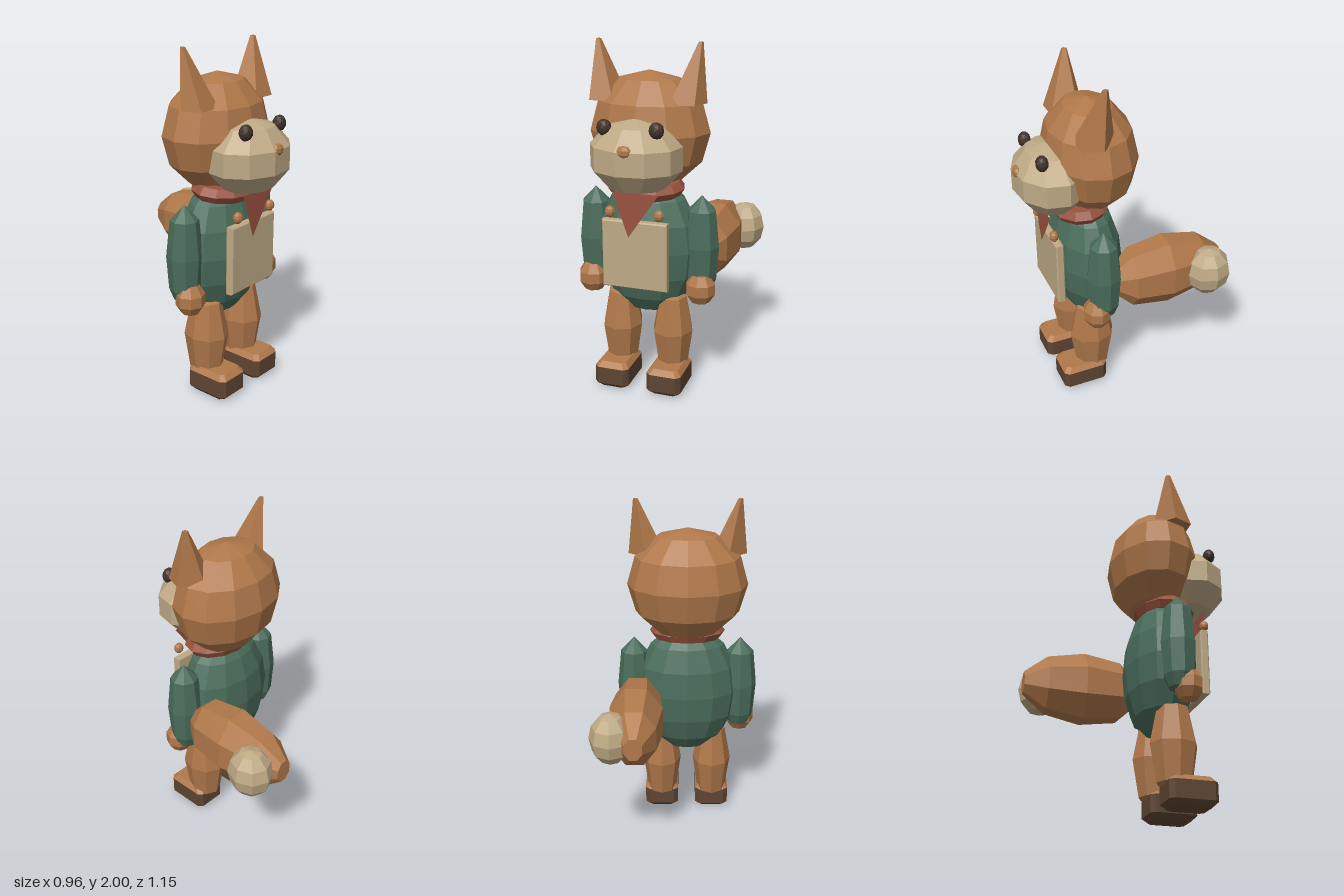
import * as THREE from 'three';

const mat = (name, color) => {
  const m = new THREE.MeshStandardMaterial({ color });
  m.name = name;
  return m;
};

// Faceted look: every face gets its own normal
function facet(geo) {
  const g = geo.index ? geo.toNonIndexed() : geo;
  g.computeVertexNormals();
  return g;
}

// Skin a list of rings, each counter-clockwise seen from the last ring's end
function loft(rings) {
  const n = rings[0].length, pos = rings.flat(2), idx = [];
  for (let i = 0; i < rings.length - 1; i++)
    for (let j = 0; j < n; j++) {
      const a = i * n + j, b = i * n + (j + 1) % n;
      idx.push(a, b, b + n, a, b + n, a + n);
    }
  const last = (rings.length - 1) * n;
  for (let j = 1; j < n - 1; j++) {
    idx.push(0, j + 1, j);
    idx.push(last, last + j, last + j + 1);
  }
  const g = new THREE.BufferGeometry();
  g.setAttribute('position', new THREE.Float32BufferAttribute(pos, 3));
  g.setIndex(idx);
  return facet(g);
}

// Rectangle with cut corners, lying flat at height y
function cutRect(hx, hz, c, y) {
  const a = hx - c, b = hz - c;
  return [[-a, y, hz], [a, y, hz], [hx, y, b], [hx, y, -b],
    [a, y, -hz], [-a, y, -hz], [-hx, y, -b], [-hx, y, b]];
}

const ball = (rx, ry, rz, w, h, turn = 0) =>
  facet(new THREE.SphereGeometry(1, w, h).rotateY(turn).scale(rx, ry, rz));

const lathe = (points, sides) =>
  facet(new THREE.LatheGeometry(points.map(p => new THREE.Vector2(...p)), sides));

export function createModel() {
  const fur = mat('fur', 0xb0784a);
  const cream = mat('cream', 0xbfaa86);
  const green = mat('green cloth', 0x4a6d5b);
  const red = mat('red cloth', 0x98523e);
  const shoe = mat('shoe brown', 0x5e4533);
  const dark = mat('eye dark', 0x41322b);
  const redThin = mat('red scarf tip', 0x98523e);
  redThin.side = THREE.DoubleSide;

  const model = new THREE.Group();
  model.name = 'foxFigure';
  const body = new THREE.Group();
  body.name = 'body';
  body.position.x = -0.06; // the tail shifts the body off centre
  model.add(body);

  const add = (name, geo, material, x = 0, y = 0, z = 0) => {
    const m = new THREE.Mesh(geo, material);
    m.name = name;
    m.position.set(x, y, z);
    body.add(m);
    return m;
  };

  // Head and face
  add('head', ball(0.35, 0.33, 0.265, 12, 6), fur, 0, 1.51, 0.13);
  add('muzzle', ball(0.27, 0.21, 0.22, 10, 5, 0.14), cream, 0, 1.405, 0.36);
  add('nose', ball(0.045, 0.035, 0.027, 8, 5), fur, 0, 1.47, 0.545);

  // Torso, scarf and front panel
  add('torso', ball(0.31, 0.41, 0.2, 12, 8), green, 0, 0.84, 0.165);
  const scarf = add('scarf', facet(new THREE.TorusGeometry(0.165, 0.06, 6, 12)
    .rotateX(Math.PI / 2).scale(1, 0.8, 0.78)), red, 0, 1.2, 0.2);
  scarf.rotation.x = 0.08;
  const tip = new THREE.Shape([new THREE.Vector2(-0.12, 1.215),
    new THREE.Vector2(-0.03, 0.96), new THREE.Vector2(0.145, 1.215)]);
  add('scarfTip', new THREE.ShapeGeometry(tip), redThin, 0, 0, 0.418);

  const panel = new THREE.Shape([[-0.182, -0.19], [0.182, -0.19], [0.182, 0.19], [-0.182, 0.19]]
    .map(p => new THREE.Vector2(...p)));
  add('apronPanel', facet(new THREE.ExtrudeGeometry(panel, {
    depth: 0.034, bevelEnabled: true, bevelSize: 0.007, bevelThickness: 0.007, bevelSegments: 1,
  })), cream, -0.002, 0.85, 0.364);

  for (const s of [-1, 1]) {
    const side = s > 0 ? 'left' : 'right';

    // Ear: five-sided spike leaning outward
    const base = [[0.16, 0.28], [0.30, 0.28], [0.34, 0.17], [0.23, 0.07], [0.125, 0.13]];
    const ring = (y, k) => {
      const r = base.map(([x, z]) =>
        [s * (0.302 + (x - 0.302) * k), y, 0.138 + (z - 0.138) * k]);
      return s > 0 ? r : r.reverse();
    };
    add(side + 'Ear', loft([ring(1.68, 1), ring(2, 0.13)]), fur);

    add(side + 'Eye', facet(new THREE.IcosahedronGeometry(1, 1).scale(0.042, 0.046, 0.036)),
      dark, s * 0.146, 1.573, 0.448);
    add(side + 'Button', ball(0.03, 0.033, 0.027, 8, 6), fur, s * 0.142, 1.095, 0.4);

    // Arm and hand
    add(side + 'Arm', lathe([[0, 0.58], [0.06, 0.61], [0.088, 0.68], [0.102, 0.87],
      [0.08, 1.08], [0, 1.165]], 8), green, s * 0.318, 0, 0.172);
    add(side + 'Hand', ball(0.09, 0.1, 0.085, 8, 5), fur, s * 0.327, 0.63, 0.22);

    // Leg
    const leg = lathe([[0, 0.1], [0.088, 0.13], [0.118, 0.345], [0.08, 0.555], [0, 0.6]], 8);
    add(side + 'Leg', leg.scale(1, 1, 1.15), fur, s * 0.156, 0, 0.19);

    // Shoe: dark lower with a lighter chamfered top
    add(side + 'Shoe', loft([cutRect(0.075, 0.105, 0.02, 0), cutRect(0.103, 0.137, 0.025, 0.03),
      cutRect(0.103, 0.137, 0.025, 0.132)]), shoe, s * 0.158, 0, 0.268);
    add(side + 'ShoeTop', loft([cutRect(0.103, 0.137, 0.025, 0.132),
      cutRect(0.08, 0.11, 0.02, 0.162)]), fur, s * 0.158, 0, 0.268);
  }

  // Tail: thick spindle running backward, with a pale ball at its end
  const tailRings = [[-0.57, 0.32], [-0.44, 0.8], [-0.22, 1], [0, 0.85], [0.1, 0.4]].map(([z, k]) =>
    Array.from({ length: 8 }, (_, i) => {
      const a = (i + 0.5) * Math.PI / 4;
      return [0.292 + 0.165 * k * Math.cos(a), 0.797 + 0.22 * k * Math.sin(a), z];
    }));
  add('tail', loft(tailRings), fur);
  add('tailTip', ball(0.122, 0.15, 0.134, 8, 6), cream, 0.422, 0.805, -0.443);

  return model;
}
